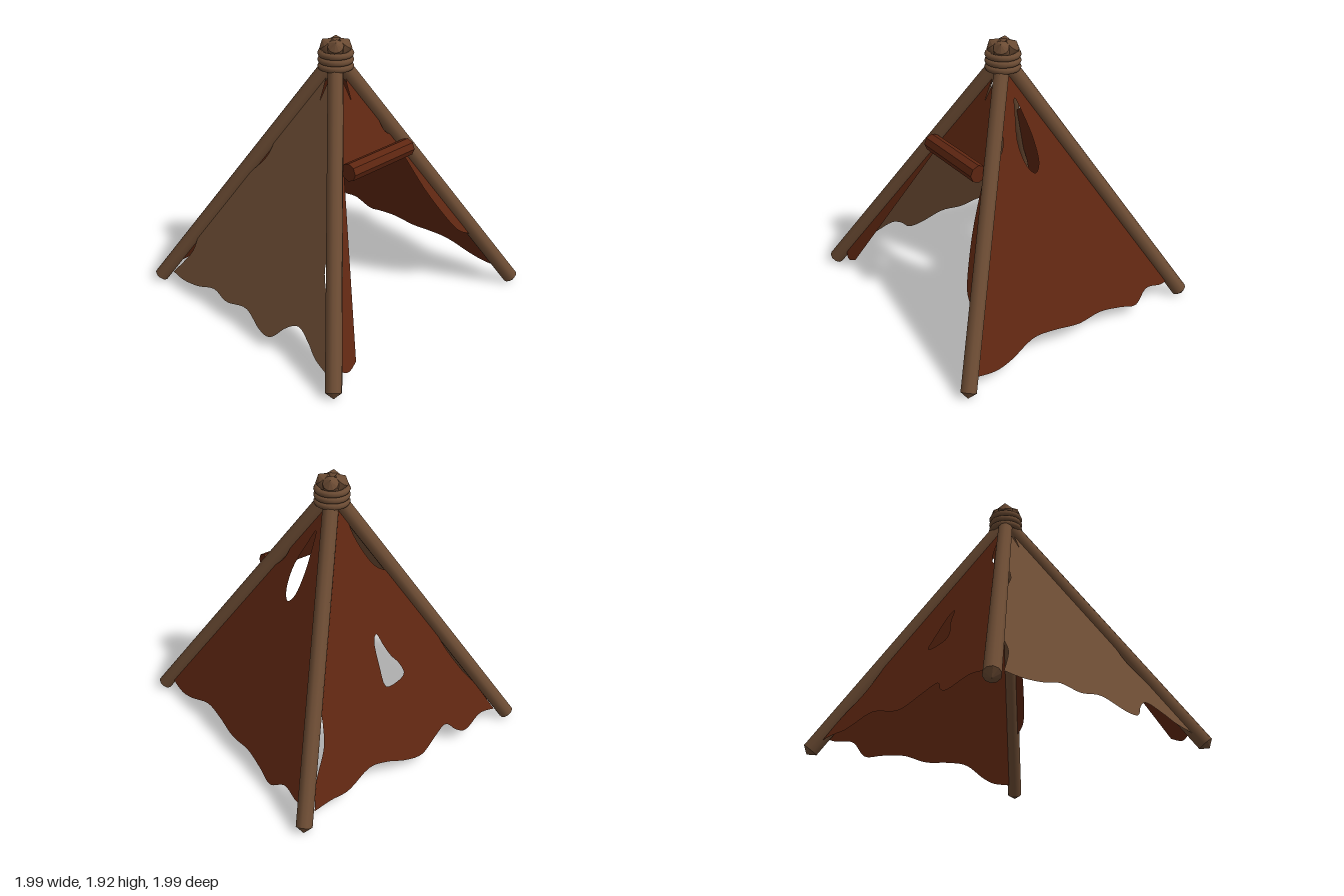
import * as THREE from 'three';

const wood = new THREE.MeshStandardMaterial({ color: 0x6b4b33, name: 'wood' });
const paleHide = new THREE.MeshStandardMaterial({ color: 0x6b4b33, name: 'pale hide', side: THREE.DoubleSide });
const redHide = new THREE.MeshStandardMaterial({ color: 0x5e2611, name: 'red hide', side: THREE.DoubleSide });

// distance of the sloping tent walls and pole axes from the centre at height y
const reach = y => 0.966 - 0.536 * y;
const vecs = pts => pts.map(([x, y]) => new THREE.Vector2(x, y));

function add(parent, name, geometry, material) {
  const mesh = new THREE.Mesh(geometry, material);
  mesh.name = name;
  parent.add(mesh);
  return mesh;
}

function faceted(geometry) {
  const g = geometry.toNonIndexed();
  g.computeVertexNormals();
  return g;
}

// Hide wall: edges are lists of [across, height], each smoothed, joined at sharp corners
function hide(parent, name, material, turn, edges, holes = []) {
  const shape = new THREE.Shape();
  shape.moveTo(...edges[0][0]);
  edges.forEach((edge, i) => shape.splineThru(vecs(i ? edge : edge.slice(1))));
  for (const hole of holes) {
    const curve = new THREE.CatmullRomCurve3(hole.map(([x, y]) => new THREE.Vector3(x, y, 0)), true);
    shape.holes.push(new THREE.Path(curve.getPoints(30).slice(0, -1).map(p => new THREE.Vector2(p.x, p.y))));
  }
  const g = new THREE.ShapeGeometry(shape, 4);
  const p = g.attributes.position;
  for (let i = 0; i < p.count; i++) p.setZ(i, reach(p.getY(i)));
  g.computeVertexNormals();
  g.rotateY(turn);
  add(parent, name, g, material);
}

export function createModel() {
  const model = new THREE.Group();
  model.name = 'hideTent';

  // Four crossing poles with blunt carved tips
  const r = 0.055, low = 0.037, high = 1.893, tip = 0.038;
  const up = new THREE.Vector3(0, 1, 0);
  for (const sx of [-1, 1]) for (const sz of [-1, 1]) {
    const a = new THREE.Vector3(sx * reach(low), low, sz * reach(low));
    const b = new THREE.Vector3(sx * reach(high), high, sz * reach(high));
    const length = a.distanceTo(b);
    const pole = new THREE.Group();
    pole.name = 'pole';
    pole.position.copy(a).add(b).multiplyScalar(0.5);
    pole.quaternion.setFromUnitVectors(up, b.sub(a).normalize());
    add(pole, 'poleShaft', new THREE.CylinderGeometry(r, r, length, 10, 1, true), wood);
    for (const end of [-1, 1]) {
      const cone = add(pole, 'poleTip', faceted(new THREE.ConeGeometry(r, tip, 10, 1, true)), wood);
      cone.position.y = end * (length + tip) / 2;
      if (end < 0) cone.rotation.x = Math.PI;
    }
    model.add(pole);
  }

  // Rope lashing
  for (const y of [1.737, 1.782, 1.827]) {
    const ring = add(model, 'ropeLashing', new THREE.TorusGeometry(0.103, 0.023, 8, 24), wood);
    ring.rotation.x = Math.PI / 2;
    ring.position.y = y;
  }

  // Front wall
  hide(model, 'frontHide', paleHide, 0, [
    [[0, 1.52], [-0.02, 1.67], [-0.06, 1.69]],
    [[-0.2, 1.42], [-0.27, 1.25], [-0.3, 1.08], [-0.42, 0.92], [-0.55, 0.72], [-0.69, 0.42], [-0.71, 0.28], [-0.83, 0.1]],
    [[-0.7, 0.09], [-0.53, 0.11], [-0.36, 0.155], [-0.2, 0.13], [0, 0.165], [0.18, 0.1], [0.3, 0.1], [0.4, 0.2],
      [0.5, 0.25], [0.62, 0.2], [0.72, 0.14], [0.86, 0.1]],
    [[0.76, 0.32], [0.65, 0.47], [0.55, 0.61], [0.51, 0.76], [0.42, 0.98], [0.32, 1.1], [0.25, 1.24], [0.2, 1.42], [0.06, 1.69]],
    [[0.02, 1.67], [0, 1.52]],
  ]);

  // Back wall with a slit near the top
  hide(model, 'backHide', redHide, Math.PI, [
    [[0.05, 1.69], [-0.05, 1.69]],
    [[-0.16, 1.46], [-0.19, 1.3], [-0.32, 1.15], [-0.46, 0.93], [-0.55, 0.74], [-0.7, 0.45], [-0.78, 0.27], [-0.88, 0.1]],
    [[-0.72, 0.08], [-0.58, 0.1], [-0.38, 0.16], [-0.2, 0.15], [0, 0.12], [0.2, 0.13], [0.38, 0.1], [0.52, 0.07],
      [0.65, 0.14], [0.8, 0.12], [0.92, 0.15]],
    [[0.8, 0.33], [0.62, 0.65], [0.42, 1.02], [0.2, 1.43], [0.05, 1.69]],
  ], [[[0, 1.55], [0.03, 1.44], [0.055, 1.28], [0.045, 1.13], [0, 1.08], [-0.05, 1.13], [-0.075, 1.28], [-0.03, 1.46]]]);

  // Side wall at -x with a torn hole
  hide(model, 'rightHide', redHide, -Math.PI / 2, [
    [[0.05, 1.69], [-0.05, 1.69]],
    [[-0.2, 1.42], [-0.4, 1.04], [-0.55, 0.73], [-0.59, 0.54], [-0.64, 0.4], [-0.76, 0.25], [-0.84, 0.09]],
    [[-0.7, 0.1], [-0.55, 0.1], [-0.35, 0.16], [-0.2, 0.14], [-0.05, 0.09], [0.1, 0.07], [0.25, 0.13], [0.37, 0.17],
      [0.45, 0.1], [0.54, 0.07], [0.7, 0.12], [0.84, 0.1]],
    [[0.73, 0.32], [0.65, 0.44], [0.55, 0.64], [0.44, 0.96], [0.3, 1.2], [0.16, 1.3], [0.07, 1.5], [0.05, 1.69]],
  ], [[[0.015, 0.9], [0.045, 0.82], [0.08, 0.74], [0.13, 0.67], [0.145, 0.6], [0.07, 0.57], [-0.03, 0.575], [-0.035, 0.7], [-0.015, 0.87]]]);

  // Open side at +x: strips beside the doorway and a flap above it
  hide(model, 'doorHide', redHide, Math.PI / 2, [
    [[0, 1.52], [-0.02, 1.66], [-0.06, 1.69]],
    [[-0.3, 1.23], [-0.6, 0.67], [-0.84, 0.2], [-0.85, 0.12]],
    [[-0.78, 0.09], [-0.7, 0.12]],
    [[-0.28, 1.12]],
    [[0.29, 1.12]],
    [[0.38, 0.85], [0.48, 0.64], [0.57, 0.5], [0.67, 0.44]],
    [[0.72, 0.45]],
    [[0.55, 0.76], [0.3, 1.18], [0.2, 1.28], [0.17, 1.42], [0.06, 1.69]],
    [[0.02, 1.66], [0, 1.52]],
  ]);

  // Rolled door flap
  const roll = add(model, 'rolledDoor', faceted(new THREE.CylinderGeometry(0.064, 0.064, 0.59, 8)), redHide);
  roll.rotation.x = Math.PI / 2;
  roll.position.set(0.413, 1.165, -0.007);

  return model;
}
